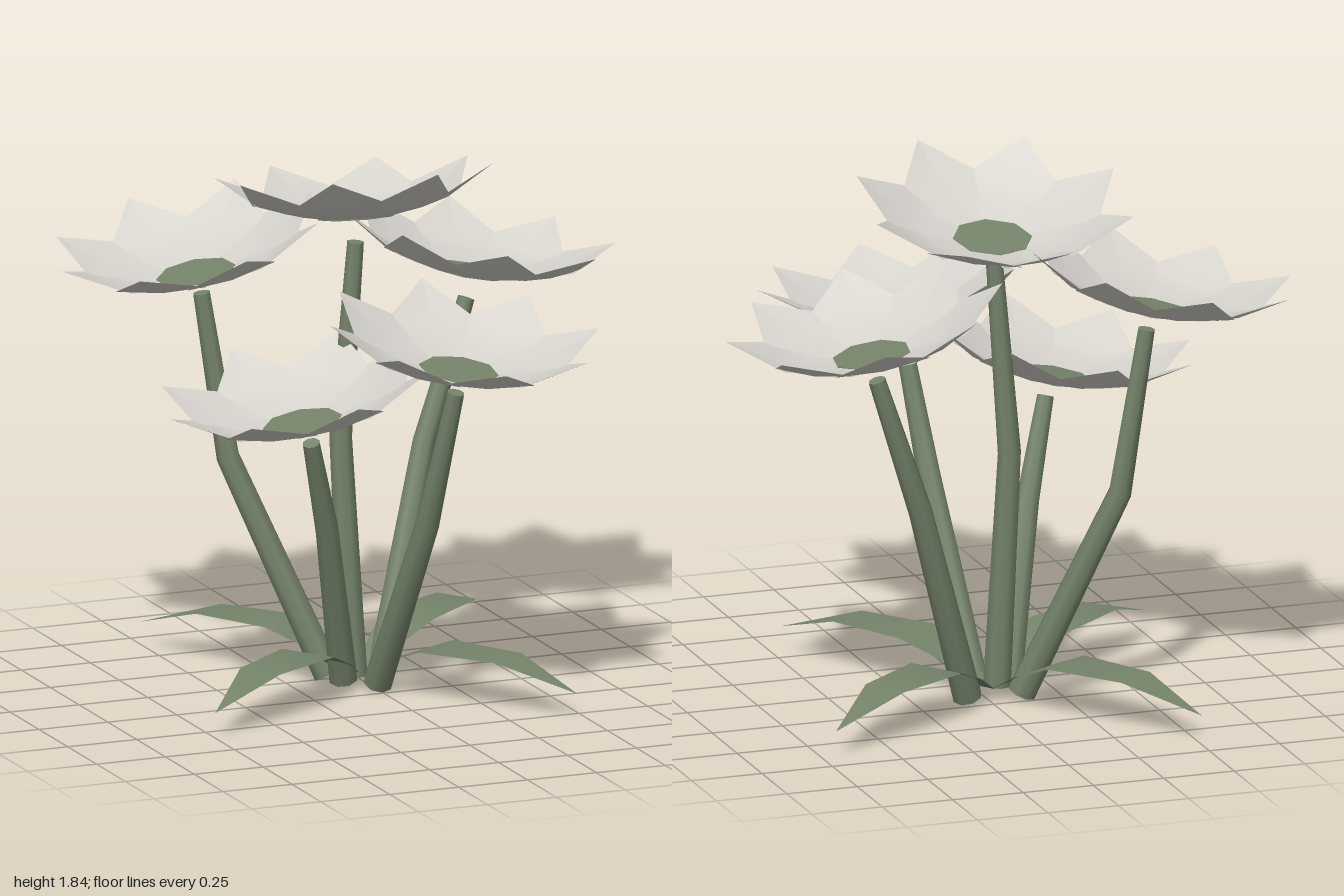
import * as THREE from 'three';

const green = new THREE.MeshStandardMaterial({ color: 0x75846a, side: THREE.DoubleSide });
green.name = 'stem green';
const white = new THREE.MeshStandardMaterial({ color: 0xd6d3cd, side: THREE.DoubleSide });
white.name = 'petal white';

const UP = new THREE.Vector3(0, 1, 0);

function mesh(name, geometry, material) {
  const m = new THREE.Mesh(geometry, material);
  m.name = name;
  return m;
}

// Thin blade along +x; each row is [along, height, half width, edge height]
function blade(rows) {
  const pos = [], idx = [];
  rows.forEach(([x, y, h, e], i) => {
    pos.push(x, e, -h, x, y, 0, x, e, h);
    if (i === 0) return;
    for (let k = 0; k < 2; k++) {
      const a = (i - 1) * 3 + k, c = i * 3 + k;
      idx.push(a, a + 1, c, a + 1, c + 1, c);
    }
  });
  const g = new THREE.BufferGeometry();
  g.setAttribute('position', new THREE.Float32BufferAttribute(pos, 3));
  g.setIndex(idx);
  g.computeVertexNormals();
  return g;
}

// Tapered octagonal stem bent through three points
function stem(points) {
  const pts = points.map(p => new THREE.Vector3(...p));
  const radii = [0.05, 0.041, 0.03];
  const turns = pts.map((p, i) => {
    const t = new THREE.Vector3();
    if (i > 0) t.add(p.clone().sub(pts[i - 1]).normalize());
    if (i < 2) t.add(pts[i + 1].clone().sub(p).normalize());
    return new THREE.Quaternion().setFromUnitVectors(UP, t.normalize());
  });
  const g = new THREE.CylinderGeometry(1, 1, 1, 8, 2);
  const P = g.attributes.position, N = g.attributes.normal;
  const v = new THREE.Vector3();
  for (let i = 0; i < P.count; i++) {
    const r = Math.round((P.getY(i) + 0.5) * 2);
    v.set(P.getX(i) * radii[r], 0, P.getZ(i) * radii[r]).applyQuaternion(turns[r]).add(pts[r]);
    P.setXYZ(i, v.x, v.y, v.z);
    v.fromBufferAttribute(N, i).applyQuaternion(turns[r]);
    N.setXYZ(i, v.x, v.y, v.z);
  }
  return g;
}

const petalGeometry = blade([
  [0.118, 0, 0.055, 0],
  [0.22, 0.018, 0.12, 0.028],
  [0.31, 0.048, 0.165, 0.062],
  [0.475, 0.155, 0, 0.155],
]);

const leafGeometry = blade([
  [0.02, 0.03, 0.03, 0.03],
  [0.14, 0.1, 0.06, 0.1],
  [0.31, 0.168, 0.104, 0.168],
  [0.6, 0.168, 0.08, 0.168],
  [0.877, 0.083, 0, 0.083],
]);

// Eight cupped petals round an octagonal disc, leaning along the given direction
function flower(centre, lean, phase) {
  const head = new THREE.Group();
  head.name = 'flowerHead';
  const spin = new THREE.Group();
  spin.name = 'petalRing';
  spin.rotation.y = -phase * Math.PI / 180;
  for (let i = 0; i < 8; i++) {
    const petal = mesh('petal', petalGeometry, white);
    petal.rotation.y = i * Math.PI / 4;
    spin.add(petal);
  }
  const disc = new THREE.CylinderGeometry(0.135, 0.135, 0.006, 8);
  disc.rotateY(Math.PI / 8);
  spin.add(mesh('flowerCentre', disc, green));
  head.add(spin);
  head.position.set(...centre);
  head.quaternion.setFromUnitVectors(UP, new THREE.Vector3(lean[0], 1, lean[1]).normalize());
  return head;
}

// Stem points from the ground up, then the flower on top of each
const plants = [
  { stem: [[-0.11, 0.02, -0.22], [-0.385, 0.75, -0.43], [-0.47, 1.32, -0.455]],
    head: [-0.49, 1.39, -0.455], lean: [-0.2, 0], phase: -2 },
  { stem: [[0.08, 0.02, -0.21], [0.31, 0.74, -0.39], [0.47, 1.22, -0.405]],
    head: [0.49, 1.31, -0.41], lean: [0.18, 0], phase: 11 },
  { stem: [[-0.05, 0.03, -0.14], [-0.08, 0.85, -0.18], [-0.03, 1.52, -0.17]],
    head: [-0.02, 1.605, -0.18], lean: [0, -0.18], phase: -14 },
  { stem: [[0, 0.02, -0.05], [0.04, 0.65, 0.29], [0.1, 1.12, 0.39]],
    head: [0.11, 1.195, 0.39], lean: [0.08, 0.12], phase: 5 },
  { stem: [[-0.1, 0.03, -0.11], [-0.23, 0.6, 0.06], [-0.325, 0.93, 0.15]],
    head: [-0.35, 1.0, 0.135], lean: [-0.18, 0], phase: -4 },
];

export function createModel() {
  const model = new THREE.Group();
  model.name = 'flowerClump';

  for (const p of plants) {
    model.add(mesh('stem', stem(p.stem), green));
    model.add(flower(p.head, p.lean, p.phase));
  }

  // Four drooping leaves at the foot
  for (let i = 0; i < 4; i++) {
    const leaf = mesh('leaf', leafGeometry, green);
    leaf.position.set(-0.025, 0, -0.155);
    leaf.rotation.y = 0.595 + i * Math.PI / 2;
    model.add(leaf);
  }
  return model;
}
